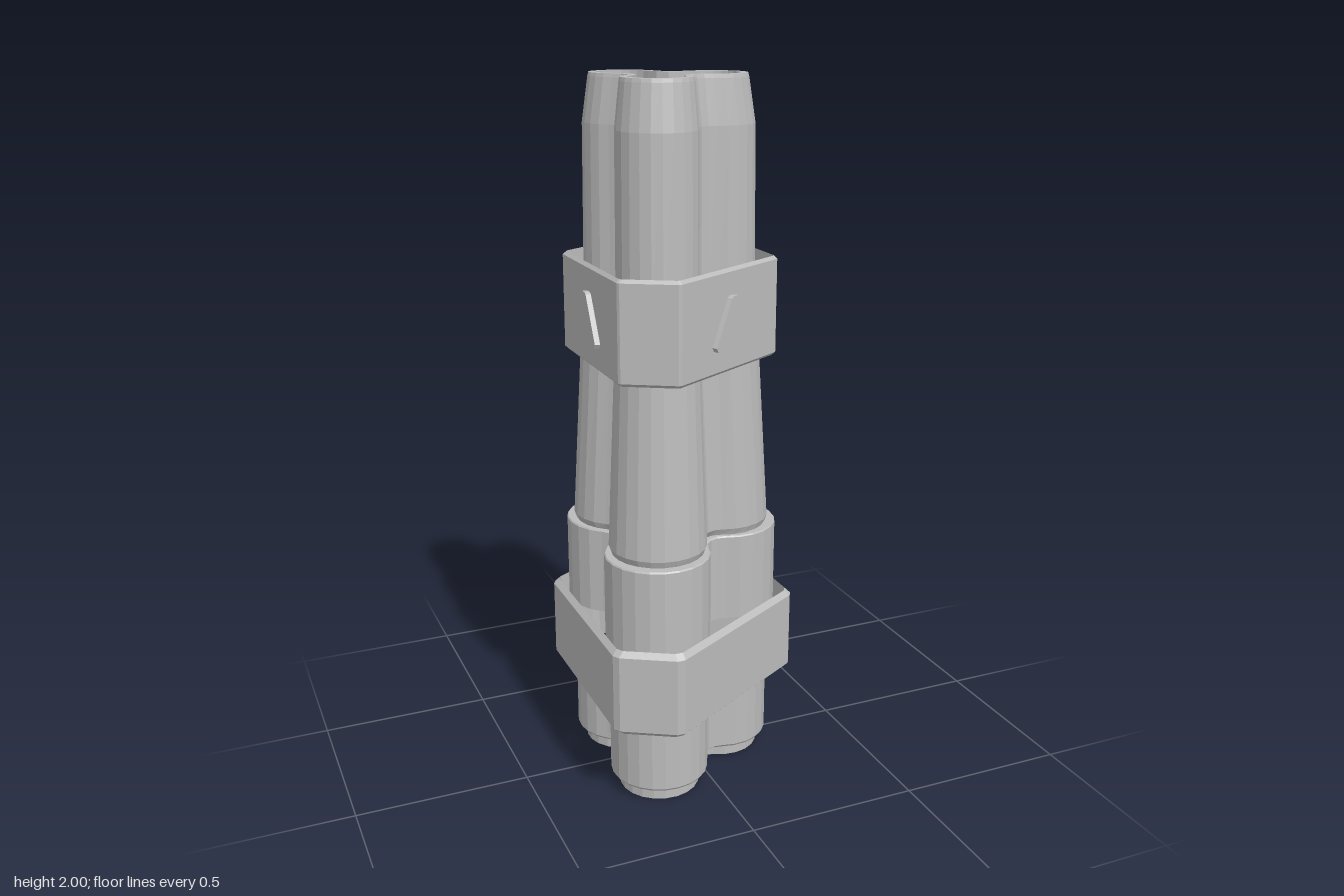
import * as THREE from 'three';

const CX = -0.053; // axis of the three-fold symmetry
const THIRD = Math.PI * 2 / 3;

const spin = (p, k) => {
  const c = Math.cos(k * THIRD), s = Math.sin(k * THIRD);
  return [p[0] * c - p[1] * s, p[0] * s + p[1] * c];
};

// Three round lobes (radius r, distance d from the axis) joined by fillets
function trefoil(d, radius, inset = 0) {
  const r = radius - inset, f = 0.055 + inset;
  const c = d / 2 + Math.sqrt((r + f) ** 2 - 0.75 * d * d);
  const fx = c / 2, fz = c * Math.sqrt(0.75);
  const A = Math.atan2(fz, fx - d);
  const lobe = [], n = 14, m = 4;
  for (let i = 0; i <= n; i++) {
    const a = -A + 2 * A * i / n;
    lobe.push([d + r * Math.cos(a), r * Math.sin(a)]);
  }
  const from = A + Math.PI, to = Math.PI * 8 / 3 - from;
  for (let i = 1; i < m; i++) {
    const a = from + (to - from) * i / m;
    lobe.push([fx + f * Math.cos(a), fz + f * Math.sin(a)]);
  }
  return [0, 1, 2].flatMap(k => lobe.map(p => spin(p, k)));
}

// Triangle with cut tips: distance to the tip faces, to the long faces, corner cut
function cutTriangle(tip, side, cut) {
  const w = (side - tip / 2) / Math.sqrt(0.75);
  const corner = [
    [tip - cut * 0.866, -w - cut * 0.5], [tip, -w + cut],
    [tip, w - cut], [tip - cut * 0.866, w + cut * 0.5],
  ];
  return [0, 1, 2].flatMap(k => corner.map(p => spin(p, k)));
}

// Skin a list of [outline, y] sections with flat facets
function loft(sections) {
  const pos = [], n = sections[0][0].length;
  const put = (s, i) => pos.push(s[0][i % n][0] + CX, s[1], s[0][i % n][1]);
  for (let j = 0; j < sections.length - 1; j++) {
    const a = sections[j], b = sections[j + 1];
    for (let i = 0; i < n; i++) {
      put(a, i); put(b, i); put(a, i + 1);
      put(a, i + 1); put(b, i); put(b, i + 1);
    }
  }
  const g = new THREE.BufferGeometry();
  g.setAttribute('position', new THREE.Float32BufferAttribute(pos, 3));
  g.computeVertexNormals();
  return g;
}

export function createModel() {
  const group = new THREE.Group();
  const metal = new THREE.MeshStandardMaterial({ color: 0xbcbcbc });
  metal.name = 'grey metal';
  const add = (name, geometry) => {
    const mesh = new THREE.Mesh(geometry, metal);
    mesh.name = name;
    group.add(mesh);
    return mesh;
  };

  // Base with its stepped foot and open bottom
  add('base', loft([
    [trefoil(0.172, 0.115, 0.018), 0.2], [trefoil(0.172, 0.115, 0.018), 0],
    [trefoil(0.172, 0.115), 0], [trefoil(0.172, 0.115), 0.04],
    [trefoil(0.172, 0.136), 0.04], [trefoil(0.172, 0.141), 0.047], [trefoil(0.172, 0.141), 0.28],
  ]));

  // Band above the lower collar
  add('band', loft([
    [trefoil(0.186, 0.148), 0.47], [trefoil(0.186, 0.148), 0.722],
    [trefoil(0.186, 0.145), 0.726], [trefoil(0.172, 0.128), 0.726],
  ]));

  // Tapered barrels between the collars
  add('lowerBarrels', loft([
    [trefoil(0.172, 0.13), 0.726], [trefoil(0.172, 0.137), 0.745],
    [trefoil(0.16, 0.117), 1.24], [trefoil(0.153, 0.113), 1.46],
  ]));

  // Upper barrels with the narrowed, open muzzle
  add('upperBarrels', loft([
    [trefoil(0.15, 0.111), 1.42], [trefoil(0.146, 0.109), 1.87],
    [trefoil(0.139, 0.097), 1.99], [trefoil(0.138, 0.095), 2],
    [trefoil(0.138, 0.095, 0.021), 2], [trefoil(0.138, 0.095, 0.021), 1.97],
    [trefoil(0.145, 0.107, 0.021), 1.87], [trefoil(0.147, 0.108, 0.021), 1.7],
  ]));

  // Inner core seen through the open ends
  const dot = cutTriangle(0.001, 0.0008, 0);
  const coreLow = cutTriangle(0.105, 0.125, 0), coreTop = cutTriangle(0.083, 0.12, 0);
  add('core', loft([[dot, 0.08], [coreLow, 0.08], [coreTop, 1.87], [dot, 1.87]]));

  // Collars: thin walls with bevelled rims, open at top and bottom
  const collar = (name, tip, side, cut, bevel, y0, y1) => {
    const outer = cutTriangle(tip, side, cut);
    const rim = cutTriangle(tip - bevel, side - bevel, cut);
    add(name, loft([[rim, y1], [rim, y0], [outer, y0 + bevel], [outer, y1 - bevel], [rim, y1]]));
  };
  collar('lowerCollar', 0.368, 0.265, 0.013, 0.015, 0.245, 0.5);
  collar('upperCollar', 0.303, 0.222, 0.005, 0.009, 1.23, 1.512);

  // Raised triangle on each long face of the upper collar
  const tri = new THREE.Shape([
    [-0.078, 1.3], [0.078, 1.3], [0.085, 1.312], [0.018, 1.435],
    [0.01, 1.44], [-0.01, 1.44], [-0.018, 1.435], [-0.085, 1.312],
  ].map(p => new THREE.Vector2(...p)));
  const plate = new THREE.ExtrudeGeometry(tri, { depth: 0.018, bevelEnabled: false });
  plate.translate(0, 0, 0.219);
  for (let k = 0; k < 3; k++) {
    const mesh = add('trianglePlate' + (k + 1), plate);
    mesh.position.x = CX;
    mesh.rotation.y = Math.PI / 2 - (Math.PI / 3 + k * THIRD);
  }
  return group;
}
